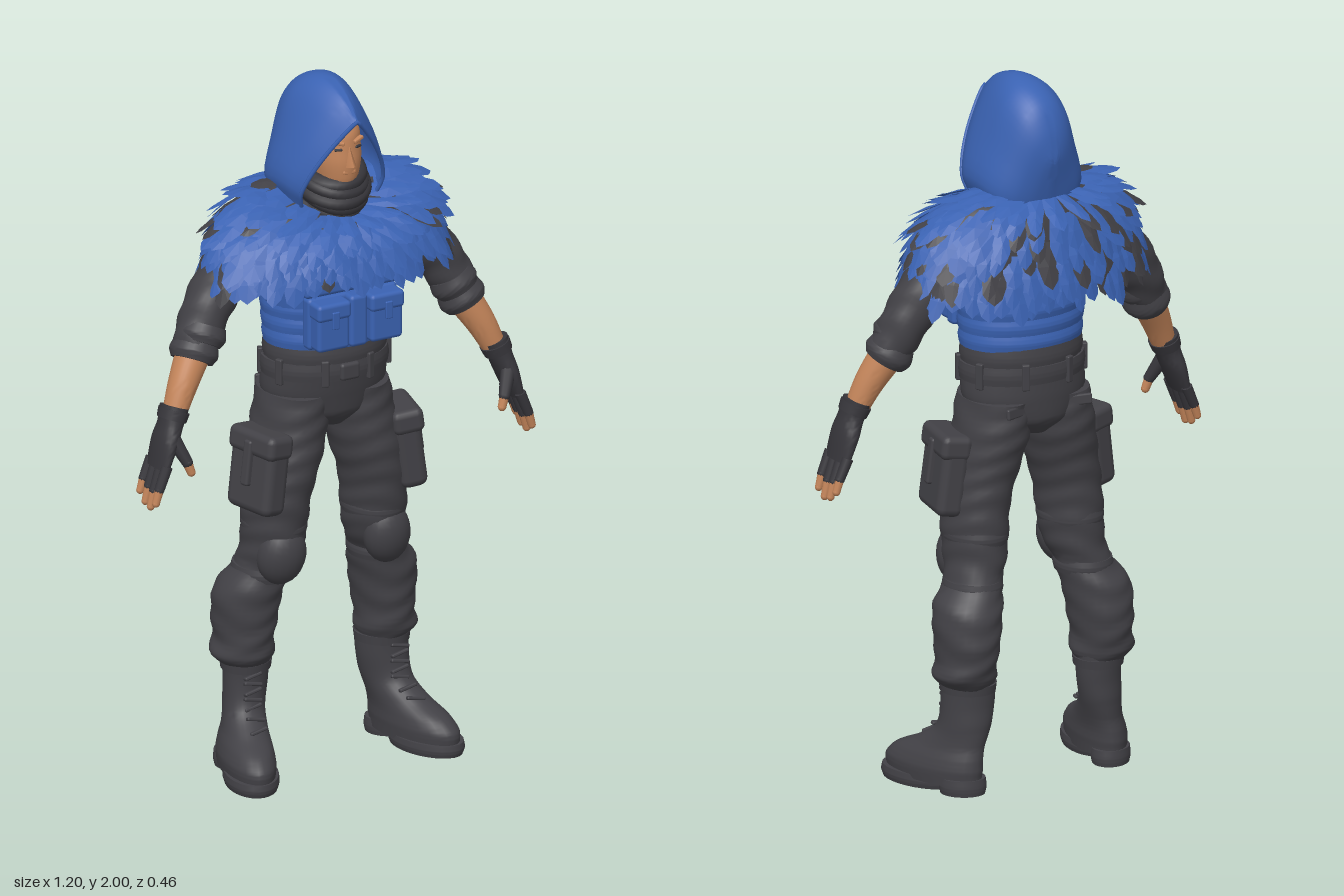
import * as THREE from 'three';
import { toCreasedNormals } from 'three/addons/utils/BufferGeometryUtils.js';
import { RoundedBoxGeometry } from 'three/addons/geometries/RoundedBoxGeometry.js';

const mat = (name, color) => new THREE.MeshStandardMaterial({ name, color, side: THREE.DoubleSide });
const V = (x, y, z) => new THREE.Vector3(x, y, z);

export function createModel() {
  const blue = mat('blue cloth', 0x3a62b2), charcoal = mat('charcoal cloth', 0x424146);
  const black = mat('dark leather', 0x37363b), skin = mat('skin', 0xc4855a);
  const model = new THREE.Group();
  let seed = 7;
  const rnd = () => (seed = (seed * 16807) % 2147483647) / 2147483647;

  const add = (name, geo, material, pos = [0, 0, 0], rot = [0, 0, 0], scale = [1, 1, 1]) => {
    const m = new THREE.Mesh(geo, material);
    m.name = name;
    m.position.set(...pos); m.rotation.set(...rot); m.scale.set(...scale);
    model.add(m);
    return m;
  };
  const box = (w, h, d, r = 0.012) => new RoundedBoxGeometry(w, h, d, 2, Math.min(r, w / 2.1, h / 2.1, d / 2.1));

  // Surface from a rule f(i, j) on a grid
  function grid(ni, nj, f) {
    const pos = [], idx = [];
    for (let i = 0; i <= ni; i++) for (let j = 0; j <= nj; j++) pos.push(...f(i, j).toArray());
    for (let i = 0; i < ni; i++) for (let j = 0; j < nj; j++) {
      const a = i * (nj + 1) + j, b = a + nj + 1;
      idx.push(a, b, a + 1, a + 1, b, b + 1);
    }
    const g = new THREE.BufferGeometry();
    g.setAttribute('position', new THREE.Float32BufferAttribute(pos, 3));
    g.setIndex(idx);
    return toCreasedNormals(g, 0.9);
  }

  // Closed loft, bottom to top, through sections [x, y, z, rx, rz]
  function loft(sections, { tilt = false, fold = 0, shear = 0, s = 1 } = {}) {
    const centre = new THREE.CatmullRomCurve3(sections.map(c => V(c[0] * s, c[1], c[2])));
    const radii = new THREE.CatmullRomCurve3(sections.map(c => V(c[3], c[4], 0)));
    const n = (sections.length - 1) * 6, sides = 28;
    return grid(n + 2, sides, (i, j) => {
      const t = THREE.MathUtils.clamp((i - 1) / n, 0, 1), cap = i === 0 || i === n + 2;
      const c = centre.getPoint(t), r = radii.getPoint(t), a = (j % sides) / sides * Math.PI * 2;
      const up = tilt ? centre.getTangent(t) : V(0, 1, 0);
      const A = V(0, 0, 1).cross(up).negate().normalize(), B = A.clone().cross(up);
      const k = cap ? 0 : 1 + fold * Math.sin(c.y * 85 + 2 * Math.sin(a * 2 + c.y * 9) + s);
      c.addScaledVector(A, Math.cos(a) * r.x * k).addScaledVector(B, Math.sin(a) * r.y * k);
      c.x += shear * s * (c.z + 0.05);
      return c;
    });
  }

  // Tapered rod between two points
  function rod(name, a, b, ra, rb, material) {
    const d = b.clone().sub(a);
    const m = add(name, new THREE.CylinderGeometry(rb, ra, d.length(), 10), material, a.clone().add(b).multiplyScalar(0.5).toArray());
    m.quaternion.setFromUnitVectors(V(0, 1, 0), d.normalize());
    add(name + 'End', new THREE.SphereGeometry(rb, 10, 8), material, b.toArray());
  }

  // Vest with overlapping wrapped bands
  add('vest', loft([[0, 1.23, 0.01, 0.172, 0.132], [0, 1.32, 0.015, 0.18, 0.132], [0, 1.45, 0.015, 0.2, 0.135],
    [0, 1.55, 0, 0.2, 0.125], [0, 1.63, 0, 0.12, 0.1]]), blue);
  for (let i = 0; i < 5; i++) {
    const y = 1.245 + i * 0.045, r = 0.18 + i * 0.004;
    add('vestBand', loft([[0, y, 0.012, r, 0.136], [0, y + 0.022, 0.012, r + 0.003, 0.14], [0, y + 0.044, 0.012, r, 0.134]]), blue);
  }

  // Chest rig and pouches
  add('chestPanel', box(0.28, 0.15, 0.04), blue, [0, 1.34, 0.15]);
  add('chestStrap', box(0.3, 0.045, 0.05), blue, [0, 1.44, 0.148]);
  add('centrePouch', box(0.055, 0.15, 0.05), blue, [0, 1.34, 0.18]);
  for (const s of [-1, 1]) {
    add('pouch', box(0.1, 0.13, 0.06), blue, [s * 0.083, 1.335, 0.182]);
    add('pouchFlap', box(0.106, 0.05, 0.068), blue, [s * 0.083, 1.385, 0.184]);
    add('pouchTab', box(0.022, 0.05, 0.008, 0.003), blue, [s * 0.083, 1.362, 0.22]);
    add('rigStrap', box(0.045, 0.2, 0.02), blue, [s * 0.11, 1.53, 0.13], [-0.15, 0, 0]);
  }

  // Waist, belt and hips
  add('shirtHem', loft([[0, 1.19, 0.01, 0.176, 0.136], [0, 1.22, 0.01, 0.18, 0.14], [0, 1.255, 0.01, 0.176, 0.135]]), charcoal);
  add('hips', loft([[0, 0.995, -0.005, 0.05, 0.085], [0, 1.04, -0.005, 0.15, 0.122], [0, 1.11, 0, 0.184, 0.132], [0, 1.2, 0.01, 0.178, 0.138]]), charcoal);
  add('belt', loft([[0, 1.15, 0.008, 0.184, 0.14], [0, 1.175, 0.008, 0.187, 0.143], [0, 1.2, 0.008, 0.184, 0.14]]), charcoal);
  add('buckle', box(0.06, 0.05, 0.02), charcoal, [0, 1.175, 0.148]);
  for (let i = 0; i < 8; i++) {
    const a = (i + 0.5) / 8 * Math.PI * 2;
    add('beltLoop', box(0.022, 0.075, 0.014, 0.004), charcoal, [Math.sin(a) * 0.185, 1.175, 0.008 + Math.cos(a) * 0.141], [0, a, 0]);
  }

  for (const s of [-1, 1]) {
    const at = (x, y, z) => V(s * x, y, z);
    // Trousers, knee pad and pockets
    add('trouserLeg', loft([[0.215, 0.3, -0.05, 0.066, 0.07], [0.224, 0.335, -0.05, 0.088, 0.092], [0.22, 0.375, -0.052, 0.08, 0.098],
      [0.217, 0.43, -0.052, 0.088, 0.102], [0.208, 0.52, -0.042, 0.095, 0.1], [0.178, 0.59, -0.022, 0.077, 0.088], [0.16, 0.65, -0.003, 0.083, 0.1],
      [0.155, 0.73, 0.005, 0.088, 0.106], [0.148, 0.81, 0.01, 0.09, 0.11], [0.128, 0.9, 0.01, 0.097, 0.118],
      [0.106, 1.0, 0, 0.1, 0.125], [0.095, 1.1, 0, 0.09, 0.125]], { s, fold: 0.022 }), charcoal);
    add('kneePad', new THREE.SphereGeometry(1, 20, 14), charcoal, [s * 0.165, 0.64, 0.062], [0.1, s * 0.15, s * 0.1], [0.07, 0.088, 0.058]);
    for (const [y, x, z, rx, rz] of [[0.575, 0.18, -0.024, 0.08, 0.092], [0.715, 0.155, 0.003, 0.088, 0.106]])
      add('kneeStrap', loft([[x, y - 0.02, z, rx - 0.004, rz - 0.004], [x, y, z, rx, rz], [x, y + 0.02, z, rx - 0.004, rz - 0.004]], { s }), charcoal);
    add('cargoPocket', box(0.08, 0.215, 0.17, 0.025), charcoal, [s * 0.226, 0.885, 0.045], [0, -s * 0.22, s * 0.13]);
    add('cargoFlap', box(0.09, 0.07, 0.18, 0.02), charcoal, [s * 0.218, 0.975, 0.045], [0, -s * 0.22, s * 0.13]);
    add('cargoStrap', box(0.092, 0.13, 0.03, 0.008), charcoal, [s * 0.231, 0.92, 0.045], [0, -s * 0.22, s * 0.13]);
    add('backPocket', box(0.1, 0.03, 0.012, 0.005), charcoal, [s * 0.09, 1.08, -0.118], [0.1, s * 0.3, 0]);

    // Boots with separate sole and heel
    add('boot', loft([[0.245, 0.025, 0.04, 0.072, 0.16], [0.245, 0.06, 0.04, 0.075, 0.162], [0.241, 0.095, 0.025, 0.07, 0.145],
      [0.232, 0.13, -0.008, 0.063, 0.106], [0.222, 0.18, -0.043, 0.062, 0.074], [0.214, 0.25, -0.05, 0.067, 0.067],
      [0.213, 0.34, -0.05, 0.07, 0.07]], { s, shear: 0.2 }), charcoal);
    add('sole', loft([[0.247, 0, 0.088, 0.073, 0.116], [0.247, 0.018, 0.088, 0.078, 0.121], [0.247, 0.036, 0.088, 0.076, 0.118]], { s, shear: 0.2 }), charcoal);
    add('heel', loft([[0.245, 0, -0.068, 0.056, 0.056], [0.245, 0.02, -0.068, 0.06, 0.058], [0.245, 0.045, -0.068, 0.058, 0.055]], { s, shear: 0.2 }), charcoal);
    add('bootCollar', loft([[0.213, 0.285, -0.05, 0.072, 0.074], [0.213, 0.31, -0.05, 0.075, 0.077]], { s, shear: 0.1 }), charcoal);
    for (let i = 0; i < 7; i++) {
      const low = Math.max(0, 2 - i);
      add('lace', box(0.055, 0.01, 0.016, 0.004), charcoal, [s * (0.23 + low * 0.008), 0.142 + i * 0.023, 0.02 + low * 0.03], [-0.3, 0, s * (i % 2 ? 0.2 : -0.2)]);
    }

    // Sleeve, rolled cuff and forearm
    add('sleeve', loft([[0.42, 1.28, 0.025, 0.058, 0.06], [0.39, 1.34, 0.012, 0.064, 0.067], [0.342, 1.42, 0, 0.068, 0.073],
      [0.275, 1.505, -0.005, 0.067, 0.078], [0.19, 1.57, -0.01, 0.068, 0.08]], { s, tilt: true, fold: 0.035 }), charcoal);
    for (const k of [0, 1]) add('rolledCuff', loft([[0.43 - k * 0.024, 1.25 + k * 0.045, 0.034, 0.058, 0.06],
      [0.42 - k * 0.024, 1.27 + k * 0.045, 0.028, 0.068, 0.07], [0.407 - k * 0.024, 1.298 + k * 0.045, 0.022, 0.06, 0.062]], { s, tilt: true }), charcoal);
    add('forearm', loft([[0.505, 1.11, 0.065, 0.032, 0.034], [0.468, 1.19, 0.05, 0.041, 0.042], [0.415, 1.28, 0.025, 0.05, 0.05]], { s, tilt: true }), skin);

    // Gloved hand with bare fingertips
    add('glove', loft([[0.558, 0.975, 0.072, 0.017, 0.054], [0.535, 1.045, 0.07, 0.028, 0.056], [0.516, 1.095, 0.068, 0.033, 0.044],
      [0.5, 1.14, 0.062, 0.04, 0.042]], { s, tilt: true }), black);
    add('gloveStrap', loft([[0.512, 1.105, 0.067, 0.04, 0.045], [0.502, 1.13, 0.064, 0.043, 0.047]], { s, tilt: true }), black);
    for (let i = 0; i < 4; i++) {
      const z = 0.028 + i * 0.029, len = [0.09, 0.112, 0.118, 0.1][i];
      const a = at(0.553, 0.99, z), b = at(0.578, 0.99 - len * 0.62, z + 0.002), c = at(0.589, 0.99 - len, z + 0.002);
      rod('gloveFinger', a, b, 0.016, 0.014, black);
      rod('fingertip', b, c, 0.013, 0.011, skin);
    }
    rod('gloveThumb', at(0.525, 1.06, 0.1), at(0.497, 0.997, 0.128), 0.022, 0.016, black);
    rod('thumbTip', at(0.497, 0.997, 0.128), at(0.487, 0.967, 0.132), 0.014, 0.012, skin);
  }

  // Head and face
  add('head', loft([[0, 1.68, 0.07, 0.035, 0.05], [0, 1.73, 0.065, 0.058, 0.083], [0, 1.8, 0.05, 0.072, 0.102],
    [0, 1.86, 0.045, 0.07, 0.1], [0, 1.92, 0.035, 0.045, 0.065]]), skin);
  add('nose', new THREE.ConeGeometry(0.016, 0.06, 4), skin, [0, 1.805, 0.152], [-0.15, 0, 0]);
  add('lips', box(0.04, 0.012, 0.012, 0.004), skin, [0, 1.757, 0.145]);
  for (const s of [-1, 1]) {
    add('eye', box(0.022, 0.007, 0.008, 0.003), black, [s * 0.031, 1.825, 0.141], [0, s * 0.35, 0]);
    add('brow', box(0.036, 0.011, 0.014, 0.004), skin, [s * 0.031, 1.845, 0.14], [0, s * 0.35, s * 0.2]);
  }

  // Scarf wraps, hanging lower at the front
  for (let i = 0; i < 6; i++) add('scarfWrap', new THREE.TorusGeometry(0.086 - Math.abs(i - 3) * 0.006, 0.022, 10, 32), black,
    [0, 1.65 + i * 0.017, 0.047], [Math.PI / 2 + 0.52 - i * 0.06, (i % 2 - 0.5) * 0.12, 0], [1, 1.14, 1]);

  // Hood: arches [top y, top z, bottom y, bottom z, half width], pointed at the brow and round behind
  const arches = [[1.918, 0.19, 1.66, 0.09, 0.128], [1.972, 0.12, 1.67, 0.06, 0.148], [2, 0.03, 1.67, 0, 0.155], [1.988, -0.05, 1.66, -0.05, 0.15],
    [1.95, -0.11, 1.65, -0.085, 0.132], [1.885, -0.145, 1.65, -0.11, 0.1], [1.82, -0.158, 1.65, -0.122, 0.055], [1.79, -0.161, 1.65, -0.126, 0]];
  const outline = (w, widths) => new THREE.CatmullRomCurve3([0, 0.17, 0.5, 0.82, 0.955, 1, 0.955, 0.82, 0.5, 0.17, 0]
    .map((h, i) => V(Math.sign(5 - i) * widths[5 - Math.abs(5 - i)], h, 0))).getPoint(w);
  const archTop = new THREE.CatmullRomCurve3(arches.map(a => V(a[4], a[0], a[1])));
  const archFoot = new THREE.CatmullRomCurve3(arches.map(a => V(0, a[2], a[3])));
  const hoodPoint = (u, w) => {
    const round = Math.min(1, u * 2.5);
    const o = outline(w, [0.92, 1, 0.76, 0.33, 0.1, 0]).lerp(outline(w, [0.9, 1, 0.81, 0.57, 0.32, 0]), round);
    const t = archTop.getPoint(u), b = archFoot.getPoint(u);
    return V(o.x * t.x, b.y + (t.y - b.y) * o.y, b.z + (t.z - b.z) * o.y);
  };
  add('hood', grid(28, 40, (i, j) => hoodPoint(i / 28, 1 - j / 40)), blue);
  const rim = new THREE.CatmullRomCurve3(Array.from({ length: 21 }, (_, j) => hoodPoint(0, j / 20)));
  add('hoodRim', new THREE.TubeGeometry(rim, 40, 0.006, 6), blue);

  // Mantle: a = angle from the front, v = 0 at the neck and 1 at the hem
  const step = (list, v) => {
    const x = THREE.MathUtils.clamp(v, 0, 1.2) * (list.length - 1), i = Math.min(Math.floor(x), list.length - 2);
    return list[i] + (list[i + 1] - list[i]) * (x - i);
  };
  const mantle = (a, v) => {
    const c = Math.cos(a), side = Math.sin(a) ** 2;
    const top = 1.68 - (c > 0 ? 0.05 : 0.01) * c + 0.02 * side, hem = 1.455 + (c > 0 ? 0.04 : 0.06) * c;
    return V(Math.sin(a) * step([0.12, 0.235, 0.3, 0.333, 0.357], v),
      top + (hem - top) * step([0, 0.12, 0.35, 0.64, 1], v), c * step([0.115, 0.15, 0.168, 0.182, 0.191], v));
  };
  add('mantleLining', grid(10, 48, (i, j) => mantle(-j / 48 * Math.PI * 2, i / 10 * 0.95).multiply(V(0.98, 1, 0.97))), charcoal);

  // Ragged pointed feathers in overlapping rows
  const shape = [[-0.35, 0], [0.35, 0], [0.5, 0.5], [0.38, 0.82], [0.05, 1], [-0.3, 0.86], [-0.5, 0.5]];
  const feathers = new Map([[blue, []], [charcoal, []]]);
  const rows = 9;
  for (let r = 0; r < rows; r++) {
    const count = 22 + r * 3;
    for (let k = 0; k < count; k++) {
      const a = (k + (r % 2) / 2 + (rnd() - 0.5) * 0.4) / count * Math.PI * 2, v = r / rows * 0.9 + rnd() * 0.05;
      const p = mantle(a, v), down = mantle(a, v + 0.08).sub(p).normalize();
      const across = mantle(a + 0.05, v).sub(mantle(a - 0.05, v)).normalize();
      const out = down.clone().cross(across).normalize();
      down.addScaledVector(across, (rnd() - 0.5) * 0.3);
      const w = 0.044 + rnd() * 0.022, len = 0.085 + rnd() * 0.045, lift = 0.012 + rnd() * 0.018;
      const at = (x, y, bump = 0) => p.clone().addScaledVector(across, x * w).addScaledVector(down, y * len).addScaledVector(out, 0.004 + y * lift + bump);
      const mid = at(0, 0.5, 0.006), pts = shape.map(q => at(q[0], q[1]));
      const darkShare = r < 3 ? 0.05 : Math.cos(a) < 0 ? 0.28 : 0.1;
      const list = feathers.get(rnd() < darkShare ? charcoal : blue);
      pts.forEach((q, i) => [mid, pts[(i + 1) % pts.length], q].forEach(c => list.push(c.x, c.y, c.z)));
    }
  }
  for (const [material, list] of feathers) {
    const g = new THREE.BufferGeometry();
    g.setAttribute('position', new THREE.Float32BufferAttribute(list, 3));
    g.computeVertexNormals();
    add('mantleFeathers', g, material);
  }
  return model;
}
